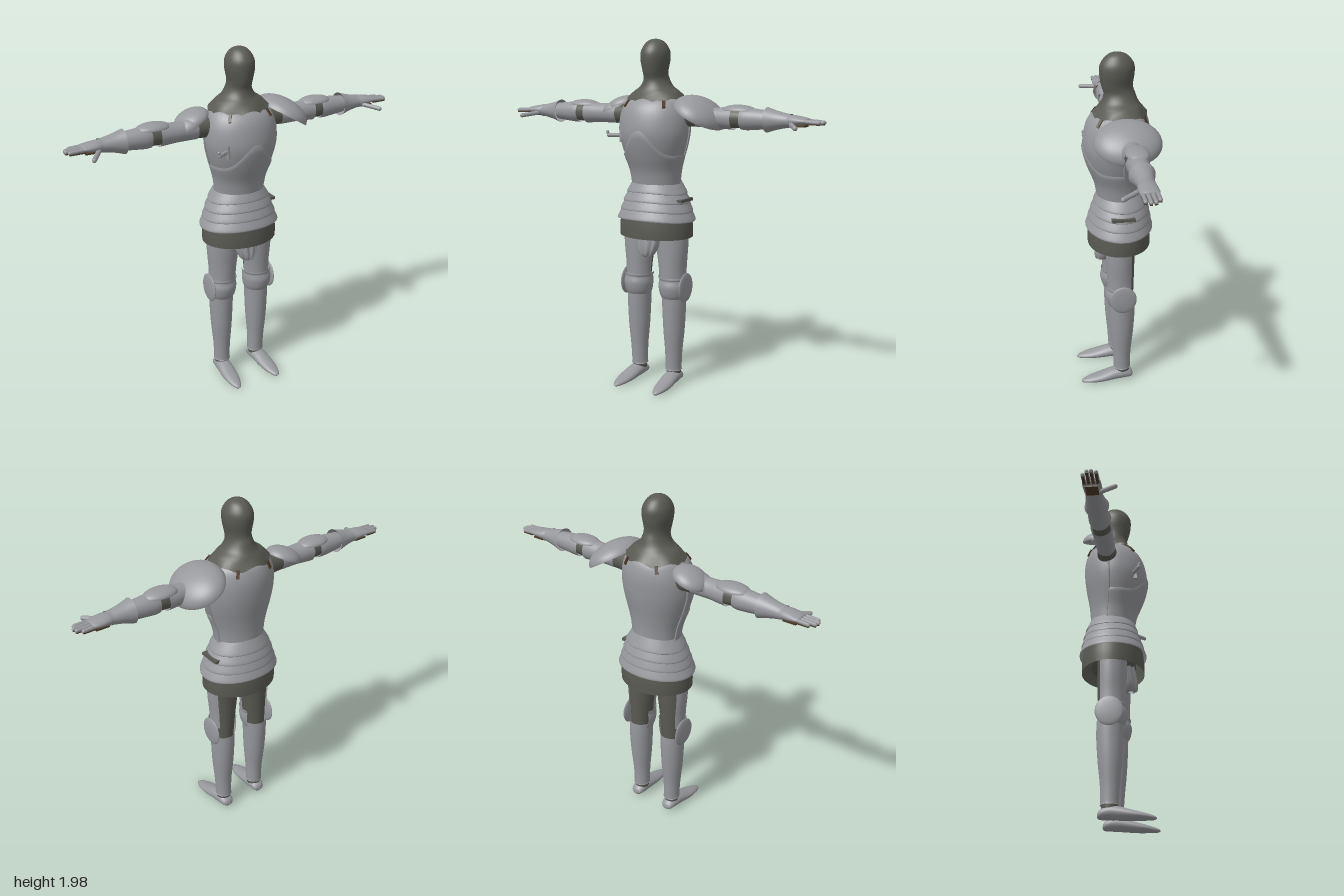
import * as THREE from 'three';

const V = (x, y, z) => new THREE.Vector3(x, y, z);
const make = (name, color) => {
  const m = new THREE.MeshStandardMaterial({ color, side: THREE.DoubleSide });
  m.name = name;
  return m;
};

// Grid surface from a rule fn(u, v); wraps round in u when closed
function surface(nu, nv, closed, fn) {
  const pos = [], idx = [], cols = closed ? nu : nu + 1;
  for (let j = 0; j <= nv; j++)
    for (let i = 0; i < cols; i++) pos.push(...fn(i / nu, j / nv).toArray());
  for (let j = 0; j < nv; j++)
    for (let i = 0; i < nu; i++) {
      const a = j * cols + i, b = j * cols + (i + 1) % cols;
      idx.push(a, b, b + cols, a, b + cols, a + cols);
    }
  const g = new THREE.BufferGeometry();
  g.setAttribute('position', new THREE.Float32BufferAttribute(pos, 3));
  g.setIndex(idx);
  g.computeVertexNormals();
  return g;
}

// Oval cross-sections [y, centreX, radiusX, frontZ, backZ] blended smoothly
function sections(rings) {
  const curves = [0, 1, 2, 3, 4].map(k => new THREE.SplineCurve(rings.map((r, i) => new THREE.Vector2(i, r[k]))));
  return t => curves.map(c => c.getPoint(t).y);
}
function ovalPoint([y, cx, rx, zf, zb], a, grow = 0) {
  return V(cx + (rx + grow) * Math.sin(a), y, (zf + zb) / 2 + ((zf - zb) / 2 + grow) * Math.cos(a));
}
// a0, a1: angular range, 0 is the front and positive turns to +x
function loft(rings, { a0 = -Math.PI, a1 = Math.PI, edit = p => p } = {}) {
  const at = sections(rings), closed = a1 - a0 > 6.28;
  return surface(40, (rings.length - 1) * 4, closed, (u, v) => {
    const a = a0 + (a1 - a0) * u;
    return edit(ovalPoint(at(v), a), a, v);
  });
}
function dome(rx, ry, rz, tilt, x, y, z) {
  return new THREE.SphereGeometry(1, 36, 14, 0, Math.PI * 2, 0, Math.PI / 2)
    .scale(rx, ry, rz).rotateZ(tilt).translate(x, y, z);
}
function ball(rx, ry, rz, x, y, z) {
  return new THREE.SphereGeometry(1, 28, 18).scale(rx, ry, rz).translate(x, y, z);
}
function rod(a, b, r) {
  const d = b.clone().sub(a), g = new THREE.CapsuleGeometry(r, d.length(), 5, 10);
  g.applyQuaternion(new THREE.Quaternion().setFromUnitVectors(V(0, 1, 0), d.clone().normalize()));
  return g.translate(...a.clone().add(b).multiplyScalar(0.5).toArray());
}
function mirrored(g) {
  const m = g.clone().scale(-1, 1, 1), ix = m.index.array;
  for (let i = 0; i < ix.length; i += 3) [ix[i], ix[i + 1]] = [ix[i + 1], ix[i]];
  return m;
}

export function createModel() {
  const root = new THREE.Group();
  root.name = 'armouredFigure';
  const steel = make('steel', 0x97989c), mail = make('mail', 0x595a53), leather = make('leather', 0x4c3a28);
  const add = (name, geo, mat) => {
    const m = new THREE.Mesh(geo, mat);
    m.name = name;
    root.add(m);
    return m;
  };
  const pair = (name, geo, mat) => {
    add(name + 'Left', geo, mat);
    add(name + 'Right', mirrored(geo), mat);
  };

  // Mail hood with a scalloped collar
  add('mailHood', loft([
    [1.645, 0, 0.172, 0.122, -0.178], [1.69, 0, 0.135, 0.085, -0.147], [1.72, 0, 0.092, 0.066, -0.127],
    [1.76, 0, 0.068, 0.058, -0.112], [1.8, 0, 0.066, 0.07, -0.1], [1.86, 0, 0.078, 0.08, -0.108],
    [1.91, 0, 0.077, 0.078, -0.108], [1.95, 0, 0.058, 0.053, -0.085], [1.972, 0, 0.034, 0.022, -0.053],
    [1.98, 0, 0.001, -0.014, -0.016],
  ], { edit: (p, a, v) => { p.y += 0.012 * Math.cos(a * 6) * Math.max(0, 1 - v * 9); return p; } }), mail);

  // Cuirass
  const torso = [
    [1.165, 0, 0.138, 0.092, -0.155], [1.25, 0, 0.15, 0.108, -0.157], [1.33, 0, 0.174, 0.14, -0.167],
    [1.4, 0, 0.195, 0.163, -0.18], [1.47, 0, 0.208, 0.175, -0.19], [1.55, 0, 0.206, 0.166, -0.194],
    [1.61, 0, 0.188, 0.145, -0.185], [1.65, 0, 0.16, 0.11, -0.165], [1.68, 0, 0.1, 0.06, -0.12],
  ];
  add('cuirass', loft(torso), steel);
  const torsoAt = sections(torso);
  const onTorso = (y, a, grow) => {
    let lo = 0, hi = 1;
    for (let i = 0; i < 24; i++) {
      const mid = (lo + hi) / 2;
      if (torsoAt(mid)[0] < y) lo = mid; else hi = mid;
    }
    return ovalPoint(torsoAt(lo), a, grow);
  };
  // Belly plate rising to a point on the chest
  add('bellyPlate', surface(48, 16, false, (u, v) => {
    const a = (u - 0.5) * 3.4, top = 1.345 + 0.14 * Math.exp(-((a / 0.5) ** 2));
    return onTorso(1.17 + (top - 1.17) * v, a, v > 0.97 ? 0.002 : 0.007);
  }), steel);
  // Side seams and shoulder straps
  const seam = Array.from({ length: 9 }, (_, i) => onTorso(1.18 + i * 0.04, 1.68, 0.003));
  pair('sideSeam', new THREE.TubeGeometry(new THREE.CatmullRomCurve3(seam), 30, 0.005, 6), steel);
  for (const [name, a] of [['frontStrap', 0.72], ['backStrap', 2.55]]) {
    const lower = onTorso(1.61, a, 0.004), upper = onTorso(1.645, a, 0.006);
    const dir = upper.clone().sub(lower), out = V(Math.sin(a), 0, Math.cos(a));
    const side = dir.clone().cross(out).normalize();
    const basis = new THREE.Matrix4().makeBasis(side, dir.clone().normalize(), side.clone().cross(dir).normalize());
    const mid = lower.add(upper).multiplyScalar(0.5);
    pair(name, new THREE.BoxGeometry(0.017, 0.045, 0.009).applyMatrix4(basis).translate(mid.x, mid.y, mid.z), leather);
  }
  // Lance rest on the right breast
  add('lanceRestPlate', new THREE.BoxGeometry(0.014, 0.075, 0.025).translate(-0.142, 1.45, 0.115), steel);
  add('lanceRestArm', rod(V(-0.142, 1.45, 0.105), V(-0.21, 1.45, 0.145), 0.011), steel);
  add('lanceRestHook', rod(V(-0.212, 1.45, 0.145), V(-0.215, 1.47, 0.148), 0.008), steel);

  // Overlapping waist lames
  const lame = [[1.19, 0.146, 0.097, -0.163], [1.125, 0.178, 0.118, -0.183], [1.075, 0.199, 0.135, -0.196],
    [1.025, 0.216, 0.15, -0.206], [0.975, 0.233, 0.164, -0.216]];
  for (let i = 0; i < 4; i++) {
    const [y1, r1, f1, b1] = lame[i], [y0, r0, f0, b0] = lame[i + 1];
    add('waistLame' + (i + 1), loft([
      [y0, 0, r0, f0, b0], [y0 + 0.012, 0, r0 - 0.001, f0 - 0.001, b0 + 0.001],
      [y1 + 0.008, 0, r1 - 0.007, f1 - 0.007, b1 + 0.007],
    ], { edit: (p, a) => { p.y += 0.007 * Math.cos(2 * a); return p; } }), steel);
  }
  add('waistBuckle', new THREE.BoxGeometry(0.075, 0.016, 0.13).translate(0.166, 1.09, -0.025), mail);
  // Mail skirt and hips
  add('mailSkirt', loft([[0.875, 0, 0.219, 0.152, -0.202], [0.93, 0, 0.219, 0.152, -0.202], [1.0, 0, 0.213, 0.146, -0.196]]), mail);
  add('hips', ball(0.2, 0.06, 0.13, 0, 0.93, -0.025), mail);
  add('codpiece', loft([
    [0.765, 0, 0.015, 0.1, 0.06], [0.775, 0, 0.038, 0.113, 0.03], [0.82, 0, 0.062, 0.116, 0.01], [0.92, 0, 0.09, 0.1, -0.02],
  ], { edit: (p, a) => { p.z -= 0.016 * (0.5 + 0.5 * Math.cos(a * 10)) * Math.max(0, Math.cos(a)); return p; } }), steel);

  // Legs
  pair('mailThigh', loft([
    [0.48, 0.116, 0.055, 0.03, -0.09], [0.6, 0.113, 0.064, 0.04, -0.094], [0.7, 0.11, 0.073, 0.05, -0.097],
    [0.82, 0.106, 0.087, 0.055, -0.1], [0.94, 0.1, 0.094, 0.058, -0.102],
  ]), mail);
  pair('thighPlate', loft([
    [0.62, 0.112, 0.077, 0.056, -0.106], [0.7, 0.11, 0.08, 0.058, -0.106], [0.82, 0.107, 0.094, 0.063, -0.107],
    [0.94, 0.102, 0.102, 0.066, -0.11],
  ], { a0: -1.5, a1: 2.25 }), steel);
  pair('kneeCop', loft([
    [0.52, 0.117, 0.07, 0.048, -0.1], [0.545, 0.117, 0.079, 0.06, -0.105], [0.59, 0.117, 0.085, 0.068, -0.108],
    [0.625, 0.115, 0.08, 0.06, -0.106], [0.635, 0.114, 0.084, 0.063, -0.107], [0.645, 0.113, 0.083, 0.062, -0.107],
  ], { a0: -2, a1: 2.1 }), steel);
  pair('kneeWing', ball(0.013, 0.084, 0.077, 0.195, 0.585, -0.025), steel);
  pair('greave', loft([
    [0.085, 0.116, 0.049, 0.022, -0.08], [0.1, 0.116, 0.046, 0.02, -0.078], [0.2, 0.117, 0.05, 0.026, -0.081],
    [0.33, 0.118, 0.061, 0.038, -0.094], [0.46, 0.118, 0.067, 0.045, -0.102], [0.55, 0.117, 0.07, 0.047, -0.1],
  ]), steel);
  pair('ankle', loft([[0.04, 0.117, 0.04, 0.015, -0.07], [0.1, 0.117, 0.043, 0.017, -0.075]]), mail);
  // Pointed shoe, built heel to toe
  pair('shoe', loft([
    [-0.094, 0.118, 0.004, -0.026, -0.034], [-0.084, 0.118, 0.032, -0.014, -0.058], [-0.04, 0.119, 0.044, -0.01, -0.083],
    [0.02, 0.122, 0.046, -0.006, -0.078], [0.09, 0.127, 0.046, -0.001, -0.057], [0.15, 0.13, 0.038, 0, -0.04],
    [0.2, 0.132, 0.02, 0, -0.024], [0.216, 0.132, 0.003, -0.005, -0.013],
  ]).rotateX(Math.PI / 2), steel);

  // Arms, built upright and turned outwards
  const arm = (name, rings, mat, range) => pair(name, loft(rings, range).rotateZ(-Math.PI / 2).translate(0, 1.558, 0), mat);
  arm('mailSleeve', [[0.15, 0, 0.062, 0.02, -0.1], [0.28, 0, 0.052, 0.012, -0.088], [0.48, 0, 0.052, 0.012, -0.086], [0.62, 0, 0.045, 0.006, -0.08]], mail);
  arm('upperArmPlate', [[0.26, 0, 0.056, 0.016, -0.09], [0.37, 0, 0.055, 0.018, -0.09], [0.42, 0, 0.058, 0.02, -0.094], [0.48, 0, 0.062, 0.022, -0.097]], steel);
  arm('forearmPlate', [[0.53, 0, 0.058, 0.02, -0.094], [0.56, 0, 0.06, 0.022, -0.096], [0.62, 0, 0.055, 0.017, -0.092], [0.69, 0, 0.048, 0.01, -0.085]], steel);
  arm('gauntletCuff', [[0.675, 0, 0.067, 0.031, -0.102], [0.73, 0, 0.05, 0.016, -0.088], [0.79, 0, 0.037, 0.009, -0.08], [0.81, 0, 0.037, 0.011, -0.082]], steel);
  arm('hand', [
    [0.79, 0, 0.03, 0.006, -0.078], [0.83, -0.002, 0.029, 0.014, -0.084], [0.88, -0.002, 0.021, 0.014, -0.085],
    [0.905, -0.002, 0.014, 0.01, -0.08], [0.91, -0.002, 0.002, 0, -0.07],
  ], steel);
  pair('elbowCop', dome(0.1, 0.032, 0.062, 0, 0.505, 1.6, -0.041), steel);
  pair('palm', new THREE.BoxGeometry(0.075, 0.008, 0.066).translate(0.855, 1.533, -0.036), leather);
  [0.985, 0.998, 0.995, 0.97].forEach((tip, i) => {
    const z = 0 - i * 0.0235;
    pair('finger' + (i + 1), rod(V(0.88, 1.56, z), V(tip - 0.01, 1.556, z), 0.0105), steel);
    pair('fingerLining' + (i + 1), new THREE.BoxGeometry(tip - 0.9, 0.006, 0.014).translate(tip / 2 + 0.445, 1.546, z), leather);
  });
  pair('thumb', rod(V(0.825, 1.543, 0.005), V(0.882, 1.53, 0.086), 0.0125), steel);

  // Unequal shoulder guards
  add('largeShoulderGuard', dome(0.15, 0.092, 0.18, -0.53, 0.272, 1.567, -0.033), steel);
  add('smallShoulderGuard', dome(0.102, 0.055, 0.095, 0.4, -0.263, 1.597, -0.075), steel);
  add('smallShoulderLame', dome(0.085, 0.05, 0.07, 0.35, -0.3, 1.575, -0.045), steel);
  return root;
}
